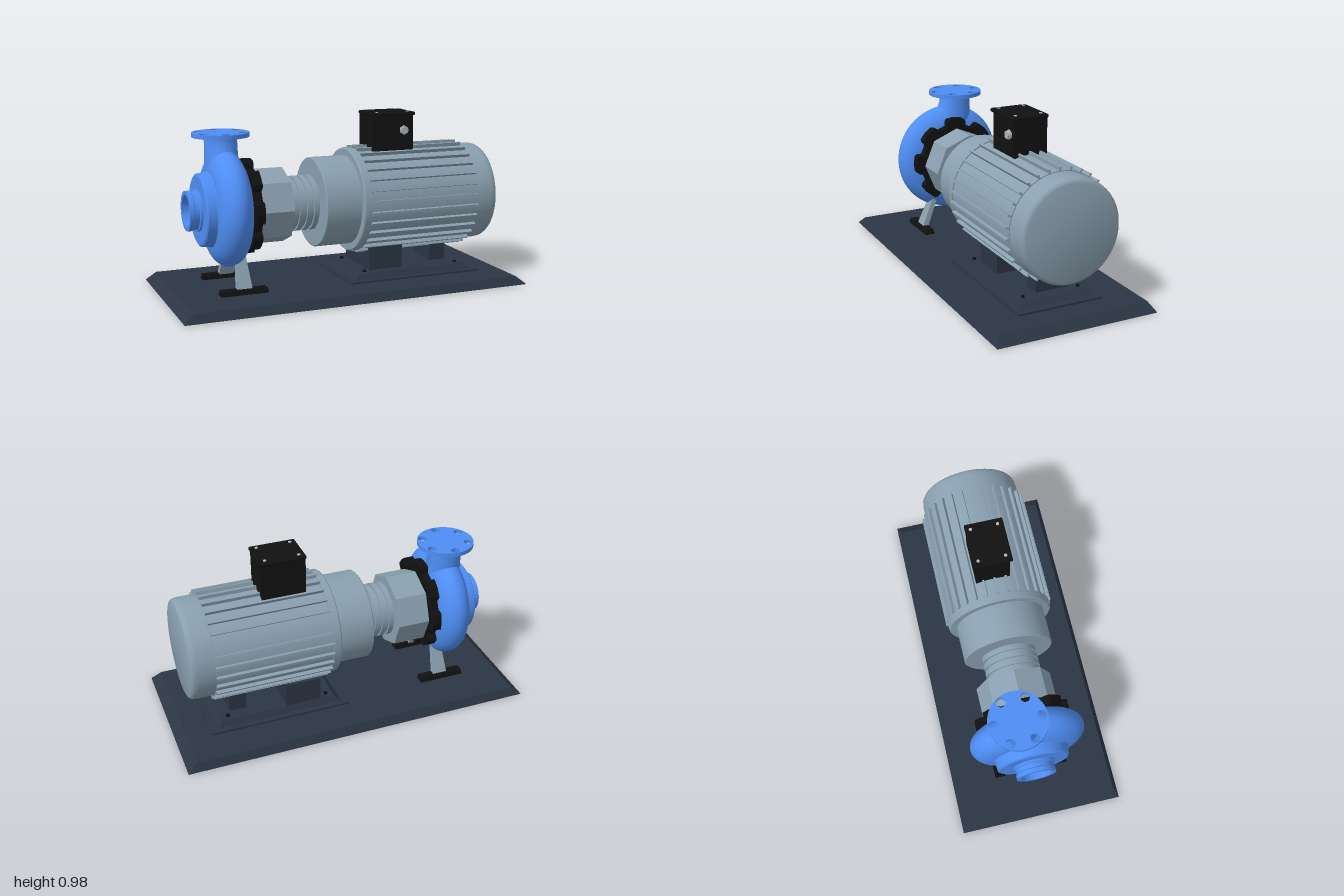
import * as THREE from 'three';
import { toCreasedNormals } from 'three/addons/utils/BufferGeometryUtils.js';
import { RoundedBoxGeometry } from 'three/addons/geometries/RoundedBoxGeometry.js';

const mat = (color, flatShading = false) => new THREE.MeshStandardMaterial({ color, flatShading });
const BLUE = mat(0x4f8ef5), STEEL = mat(0x8aa0b0), STEEL_FLAT = mat(0x8aa0b0, true);
const SLATE = mat(0x2b3544, true), BLACK = mat(0x111111), SILVER = mat(0xb0b4b8);
const AXIS_Y = 0.483, PUMP_Z = -0.012;

export function createModel() {
  const root = new THREE.Group();

  const add = (name, geometry, material, x = 0, y = 0, z = 0, parent = root) => {
    const mesh = new THREE.Mesh(geometry, material);
    mesh.name = name;
    mesh.position.set(x, y, z);
    parent.add(mesh);
    return mesh;
  };
  // solid of revolution about the shaft: profile points are [x, radius]
  const turned = (name, profile, material, z = 0, segments = 64) => {
    const pts = profile.map(([x, r]) => new THREE.Vector2(r, x));
    const geo = new THREE.LatheGeometry(pts, segments).rotateZ(-Math.PI / 2);
    return add(name, toCreasedNormals(geo, 0.6), material, 0, AXIS_Y, z);
  };
  const box = (name, x0, x1, y0, y1, z0, z1, material, parent = root) =>
    add(name, new THREE.BoxGeometry(x1 - x0, y1 - y0, z1 - z0), material,
      (x0 + x1) / 2, (y0 + y1) / 2, (z0 + z1) / 2, parent);
  // box whose top is smaller than its bottom by an inset on each side
  const slopedPlate = (name, w, d, y0, y1, insetX, insetZ, x, material = SLATE, z = 0) => {
    const geo = new THREE.BoxGeometry(w, y1 - y0, d);
    const p = geo.attributes.position;
    for (let i = 0; i < p.count; i++) {
      if (p.getY(i) < 0) continue;
      p.setX(i, p.getX(i) - Math.sign(p.getX(i)) * insetX);
      p.setZ(i, p.getZ(i) - Math.sign(p.getZ(i)) * insetZ);
    }
    geo.computeVertexNormals();
    return add(name, geo, material, x, (y0 + y1) / 2, z);
  };

  // base plate and motor plinth
  slopedPlate('basePlate', 2, 0.93, 0, 0.047, 0.057, 0.026, 0);
  box('plinthPlate', 0, 0.81, 0.045, 0.058, -0.25, 0.25, SLATE);
  slopedPlate('plinth', 0.73, 0.44, 0.057, 0.09, 0.035, 0.022, 0.405);
  box('wideMotorBlock', 0.155, 0.36, 0.088, 0.23, -0.195, 0.145, SLATE);
  box('narrowMotorBlock', 0.575, 0.675, 0.088, 0.23, -0.125, 0.075, SLATE);
  for (const x of [0.115, 0.695]) for (const z of [-0.165, 0.165])
    add('plinthBolt', new THREE.CylinderGeometry(0.011, 0.011, 0.012, 6), BLACK, x, 0.094, z);

  // motor housing
  turned('motorBell', [[-0.145, 0], [-0.145, 0.248], [-0.14, 0.253], [0.065, 0.253]], STEEL);
  turned('motorBody', [[0.062, 0.2], [0.062, 0.29], [0.068, 0.295], [0.11, 0.295],
    [0.11, 0.288], [0.77, 0.288], [0.77, 0.2]], STEEL);
  turned('motorEndCap', [[0.765, 0.283], [0.86, 0.283], [0.885, 0.28], [0.897, 0.272],
    [0.902, 0.26], [0.902, 0]], STEEL);

  // cooling fins
  const fins = new THREE.Group();
  fins.name = 'coolingFins';
  fins.position.y = AXIS_Y;
  root.add(fins);
  for (let i = 0; i < 30; i++) {
    const a = (i / 30) * Math.PI * 2;
    const fin = add('fin', new THREE.BoxGeometry(0.665, 0.035, 0.011), STEEL, 0.4375,
      Math.cos(a) * 0.2905, Math.sin(a) * 0.2905, fins);
    fin.rotation.x = a;
  }

  // terminal box with lid, screws and cable gland
  box('terminalBox', 0.2, 0.45, 0.74, 0.965, -0.103, 0.087, BLACK);
  add('terminalLid', new RoundedBoxGeometry(0.262, 0.02, 0.214, 2, 0.008), BLACK, 0.325, 0.969, -0.003);
  for (const x of [0.23, 0.42]) for (const z of [-0.08, 0.07])
    add('lidScrew', new THREE.CylinderGeometry(0.009, 0.009, 0.006, 16), SILVER, x, 0.98, z);
  const gland = (r, depth, sides, z) => add('cableGland',
    new THREE.CylinderGeometry(r, r, depth, sides).rotateX(Math.PI / 2), SILVER, 0.39, 0.876, z);
  gland(0.027, 0.012, 6, 0.092);
  gland(0.021, 0.024, 24, 0.096);

  // ribbed shaft neck
  const neck = [[-0.315, 0.145]];
  for (let i = 0; i < 4; i++) {
    const x = -0.305 + i * 0.042;
    neck.push([x, 0.143], [x, 0.155], [x + 0.029, 0.155], [x + 0.029, 0.143]);
  }
  neck.push([-0.14, 0.143]);
  turned('shaftNeck', neck, STEEL);

  // eight-sided coupling housing
  add('couplingHousing', new THREE.CylinderGeometry(0.211, 0.211, 0.19, 8).rotateZ(-Math.PI / 2),
    STEEL_FLAT, -0.405, AXIS_Y - 0.003, PUMP_Z);

  // castellated clamp ring
  const ring = new THREE.Shape();
  const lobes = 8;
  for (let i = 0; i < lobes; i++) {
    [[-0.34, 0.222], [-0.3, 0.25], [-0.23, 0.262], [0, 0.264], [0.23, 0.262], [0.3, 0.25], [0.34, 0.222], [0.5, 0.22]]
      .forEach(([t, r], j) => {
        const a = ((i + t) / lobes) * Math.PI * 2;
        ring[i + j === 0 ? 'moveTo' : 'lineTo'](Math.cos(a) * r, Math.sin(a) * r);
      });
  }
  ring.closePath();
  add('clampRing', new THREE.ExtrudeGeometry(ring, { depth: 0.052, bevelEnabled: false }).rotateY(Math.PI / 2),
    BLACK, -0.546, AXIS_Y + 0.005, PUMP_Z);

  // pump casing: rounded volute
  const volute = [[-0.74, 0]];
  for (let i = 0; i <= 24; i++) {
    const a = Math.PI - (i / 24) * Math.PI;
    volute.push([-0.641 + Math.cos(a) * 0.096, 0.19 + Math.sin(a) * 0.131]);
  }
  volute.push([-0.54, 0.19], [-0.54, 0]);
  turned('volute', volute, BLUE, PUMP_Z);

  // suction cover and open inlet
  turned('suctionCover', [[-0.795, 0.1], [-0.795, 0.19], [-0.788, 0.2], [-0.74, 0.204], [-0.715, 0.225]], BLUE, PUMP_Z);
  turned('suctionInlet', [[-0.79, 0], [-0.79, 0.088], [-0.862, 0.088], [-0.862, 0.11], [-0.838, 0.11],
    [-0.834, 0.104], [-0.81, 0.104], [-0.805, 0.115], [-0.79, 0.115]], BLUE, PUMP_Z);

  // discharge pipe, flaring toward the front where it meets the volute
  const pipe = new THREE.CylinderGeometry(0.09, 0.094, 0.25, 48, 16, true);
  const pos = pipe.attributes.position;
  for (let i = 0; i < pos.count; i++) {
    const t = 0.5 - pos.getY(i) / 0.25;
    if (pos.getZ(i) > 0) pos.setZ(i, pos.getZ(i) * (1 + 1.9 * t * t));
    else pos.setZ(i, pos.getZ(i) * (1 - 0.25 * Math.max(0, t - 0.4)));
  }
  pipe.computeVertexNormals();
  add('dischargePipe', pipe, BLUE, -0.643, 0.75, -0.07);

  // discharge flange with bolt holes
  const flange = new THREE.Shape().absarc(0, 0, 0.158, 0, Math.PI * 2);
  for (let i = 0; i < 6; i++) {
    const a = Math.PI / 2 + (i * Math.PI) / 3;
    flange.holes.push(new THREE.Path().absarc(Math.cos(a) * 0.128, Math.sin(a) * 0.128, 0.025, 0, Math.PI * 2, true));
  }
  const flangeGeo = new THREE.ExtrudeGeometry(flange, { depth: 0.024, bevelEnabled: false, curveSegments: 32 });
  add('dischargeFlange', toCreasedNormals(flangeGeo.rotateX(-Math.PI / 2), 0.6), BLUE, -0.643, 0.871, -0.07);

  // splayed pump legs on black pads
  for (const s of [-1, 1]) {
    slopedPlate('footPad', 0.268, 0.06, 0.046, 0.075, 0.006, 0.006, -0.603, BLACK, s * 0.185);
    const leg = slopedPlate('pumpLeg', 0.085, 0.036, 0.07, 0.27, 0.016, 0.003, -0.599, STEEL_FLAT, 0);
    const p = leg.geometry.attributes.position;
    for (let i = 0; i < p.count; i++) p.setZ(i, p.getZ(i) + s * (p.getY(i) < 0 ? 0.178 : 0.095));
    leg.geometry.computeVertexNormals();
  }

  return root;
}
